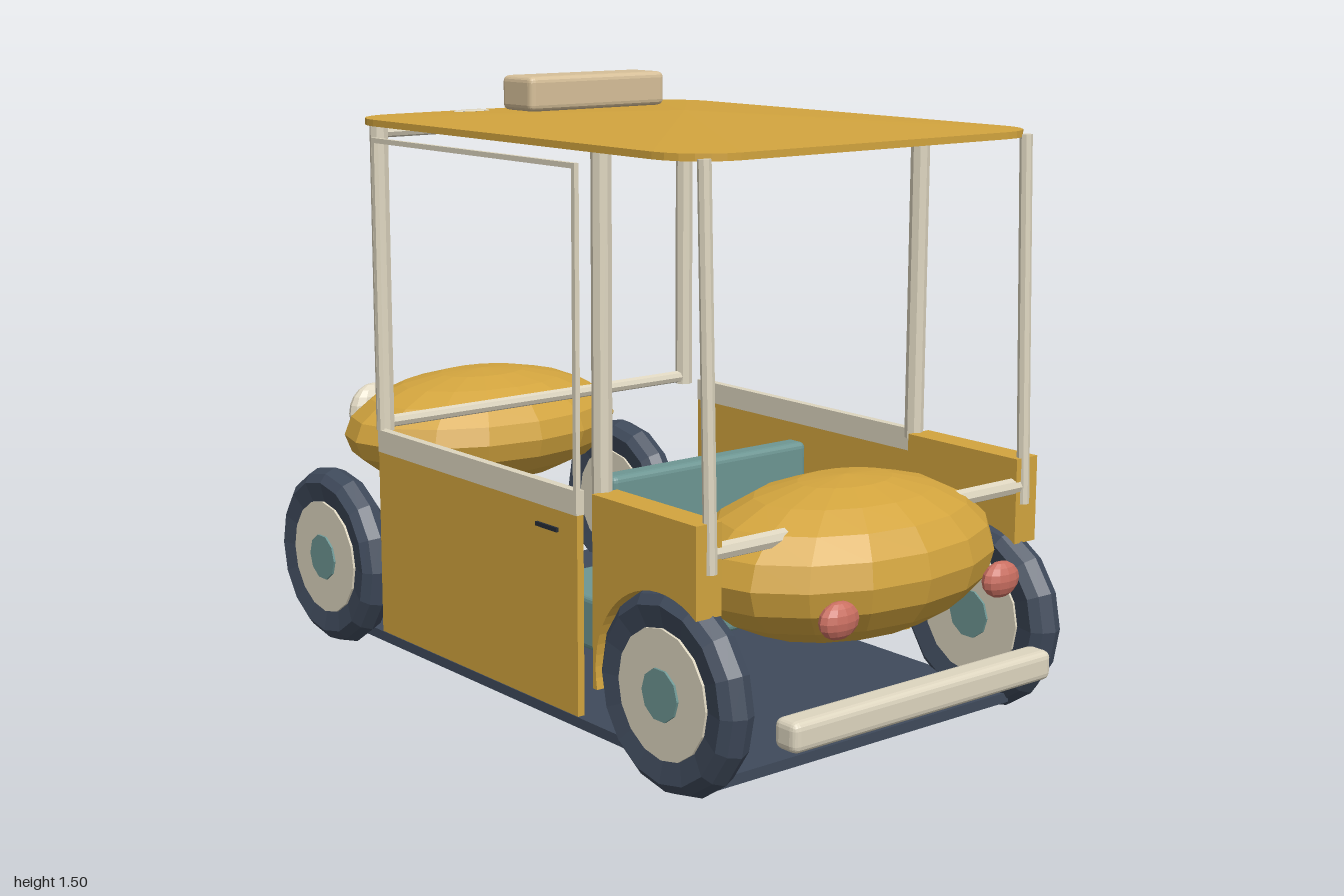
import * as THREE from 'three';
import { RoundedBoxGeometry } from 'three/addons/geometries/RoundedBoxGeometry.js';

const mat = (name, color) => {
  const m = new THREE.MeshStandardMaterial({ color, flatShading: true });
  m.name = name;
  return m;
};

export function createModel() {
  const model = new THREE.Group();
  model.name = 'openCart';

  const yellow = mat('yellow paint', 0xd2a43e);
  const cream = mat('cream trim', 0xddd5bf);
  const teal = mat('teal upholstery', 0x6d9693);
  const navy = mat('navy rubber', 0x3f4a5b);
  const red = mat('red lamp', 0xcb7062);
  const tan = mat('tan sign', 0xd6bf98);
  const ink = mat('dark pupil', 0x262c36);
  const white = mat('white glint', 0xf4f1e8);

  const add = (name, geo, material, x = 0, y = 0, z = 0, parent = model) => {
    const m = new THREE.Mesh(geo, material);
    m.name = name;
    m.position.set(x, y, z);
    parent.add(m);
    return m;
  };
  const box = (name, material, x0, x1, y0, y1, z0, z1, r = 0) => {
    const s = [x1 - x0, y1 - y0, z1 - z0];
    const geo = r ? new RoundedBoxGeometry(...s, 2, r) : new THREE.BoxGeometry(...s);
    return add(name, geo, material, (x0 + x1) / 2, (y0 + y1) / 2, (z0 + z1) / 2);
  };
  // Round bar between two points
  const bar = (name, a, b, r) => {
    const p = new THREE.Vector3(...a), q = new THREE.Vector3(...b);
    const d = q.clone().sub(p);
    const m = add(name, new THREE.CylinderGeometry(r, r, d.length(), 8), cream);
    m.position.copy(p).add(q).multiplyScalar(0.5);
    m.quaternion.setFromUnitVectors(new THREE.Vector3(0, 1, 0), d.normalize());
    return m;
  };
  const ball = (name, material, x, y, z, rx, ry, rz, w = 12, h = 8, parent = model) => {
    const m = add(name, new THREE.SphereGeometry(1, w, h), material, x, y, z, parent);
    m.scale.set(rx, ry, rz);
    return m;
  };

  // Floor and bench seat
  box('floor', navy, -0.455, 0.455, 0.04, 0.065, -0.82, 0.82);
  box('seatCushion', teal, -0.305, 0.305, 0.155, 0.29, -0.05, 0.27, 0.015);
  box('seatBack', teal, -0.305, 0.305, 0.155, 0.6, 0.205, 0.265, 0.015);

  // Domed hood and trunk
  ball('hood', yellow, 0, 0.525, -0.715, 0.405, 0.155, 0.28, 16, 10);
  ball('trunk', yellow, 0, 0.465, 0.72, 0.405, 0.185, 0.275, 16, 10);

  // Bumpers
  for (const s of [-1, 1]) {
    box('bumper', cream, -0.4, 0.4, 0.155, 0.225, s * 0.965 - 0.035, s * 0.965 + 0.035, 0.018);
  }

  // Cross bars
  bar('dashBar', [-0.48, 0.64, -0.435], [0.48, 0.64, -0.435], 0.016);
  bar('windshieldTopBar', [-0.48, 1.365, -0.435], [0.48, 1.365, -0.435], 0.014);
  bar('trunkBar', [-0.475, 0.567, 0.81], [0.475, 0.567, 0.81], 0.02);

  // Tyre ring and fender outlines
  const tyreProfile = [[0.14, -0.034], [0.2, -0.047], [0.222, -0.03], [0.235, 0],
    [0.222, 0.03], [0.2, 0.047], [0.14, 0.034]].map(p => new THREE.Vector2(...p));
  const tyreGeo = new THREE.LatheGeometry(tyreProfile, 16);
  const discGeo = new THREE.CylinderGeometry(0.148, 0.148, 0.084, 16);
  const hubGeo = new THREE.CylinderGeometry(0.06, 0.06, 0.095, 10);

  const fenderShape = new THREE.Shape();
  fenderShape.moveTo(0.47, 0.19);
  fenderShape.lineTo(0.47, 0.635);
  fenderShape.lineTo(0.825, 0.635);
  fenderShape.lineTo(0.825, 0.43);
  fenderShape.absarc(0.705, 0.24, 0.225, 1.007, 3.366, false);
  const fenderGeo = new THREE.ExtrudeGeometry(fenderShape, { depth: 0.07, bevelEnabled: false, curveSegments: 10 });
  fenderGeo.translate(0, 0, -0.035);

  for (const s of [-1, 1]) {
    // Wheels
    for (const z of [-0.7, 0.705]) {
      const wheel = new THREE.Group();
      wheel.name = 'wheel';
      wheel.position.set(s * 0.478, 0.237, z);
      wheel.rotation.z = Math.PI / 2;
      model.add(wheel);
      add('tyre', tyreGeo, navy, 0, 0, 0, wheel);
      add('wheelDisc', discGeo, cream, 0, 0, 0, wheel);
      add('hubCap', hubGeo, teal, 0, 0, 0, wheel);
    }

    // Rear fender with wheel arch
    add('rearFender', fenderGeo, yellow, s * 0.489).rotation.y = -Math.PI / 2;

    // Door, sill trim, handle and window frame
    const side = (name, material, inner, outer, y0, y1, z0, z1) =>
      box(name, material, Math.min(s * inner, s * outer), Math.max(s * inner, s * outer), y0, y1, z0, z1);
    side('door', yellow, 0.51, 0.528, 0.11, 0.576, -0.4, 0.42);
    side('doorTrim', cream, 0.508, 0.53, 0.576, 0.632, -0.4, 0.42);
    side('doorHandle', ink, 0.526, 0.534, 0.525, 0.535, 0.27, 0.35);
    side('windowFrameFront', cream, 0.518, 0.53, 0.632, 1.356, -0.4, -0.388);
    side('windowFrameRear', cream, 0.518, 0.53, 0.632, 1.356, 0.408, 0.42);
    side('windowFrameTop', cream, 0.518, 0.53, 1.344, 1.356, -0.388, 0.408);

    // Roof pillars
    bar('frontPillar', [s * 0.486, 0.62, -0.435], [s * 0.486, 1.39, -0.435], 0.023);
    bar('middlePillar', [s * 0.486, 0.62, 0.457], [s * 0.486, 1.39, 0.457], 0.023);
    bar('rearPillar', [s * 0.482, 0.525, 0.822], [s * 0.482, 1.39, 0.795], 0.015);

    // Tail lamps
    ball('tailLamp', red, s * 0.25, 0.415, 0.968, 0.054, 0.042, 0.028);

    // Eye headlamps, local +z looks outward
    const eye = new THREE.Group();
    eye.name = 'eye';
    eye.position.set(s * 0.2, 0.545, -0.955);
    eye.rotation.y = Math.PI - s * 0.1;
    model.add(eye);
    ball('eyeball', cream, 0, 0, 0, 0.08, 0.08, 0.038, 14, 10, eye);
    ball('pupil', ink, 0, -0.01, 0.033, 0.034, 0.036, 0.009, 12, 6, eye);
    ball('glint', white, -0.012, 0.004, 0.041, 0.011, 0.011, 0.003, 8, 6, eye);
  }

  // Roof slab with rounded corners
  const X = 0.53, Z0 = -0.52, Z1 = 0.815, R = 0.13, yRim = 1.4;
  const corners = [[X - R, Z1 - R], [-X + R, Z1 - R], [-X + R, Z0 + R], [X - R, Z0 + R]];
  const rim = [];
  corners.forEach(([cx, cz], i) => {
    for (let k = 0; k <= 6; k++) {
      const a = (i + k / 6) * Math.PI / 2;
      rim.push([cx + R * Math.cos(a), cz + R * Math.sin(a)]);
    }
  });
  const slab = new THREE.ExtrudeGeometry(
    new THREE.Shape(rim.map(p => new THREE.Vector2(...p))), { depth: 0.016, bevelEnabled: false });
  slab.rotateX(Math.PI / 2);
  add('roofSlab', slab, yellow, 0, yRim, 0);

  // Shallow peak on the roof
  const peak = [];
  rim.forEach(([x, z], i) => {
    const [nx, nz] = rim[(i + 1) % rim.length];
    peak.push(0, 1.43, 0.15, nx, yRim, nz, x, yRim, z);
  });
  const peakGeo = new THREE.BufferGeometry();
  peakGeo.setAttribute('position', new THREE.Float32BufferAttribute(peak, 3));
  peakGeo.computeVertexNormals();
  add('roofPeak', peakGeo, yellow);

  // Roof sign and pale paint spot
  box('roofSign', tan, -0.21, 0.21, 1.415, 1.5, -0.305, -0.18, 0.015);
  ball('roofSpot', cream, -0.21, 1.404, -0.435, 0.052, 0.005, 0.033, 12, 6).rotation.x = -0.045;

  return model;
}
